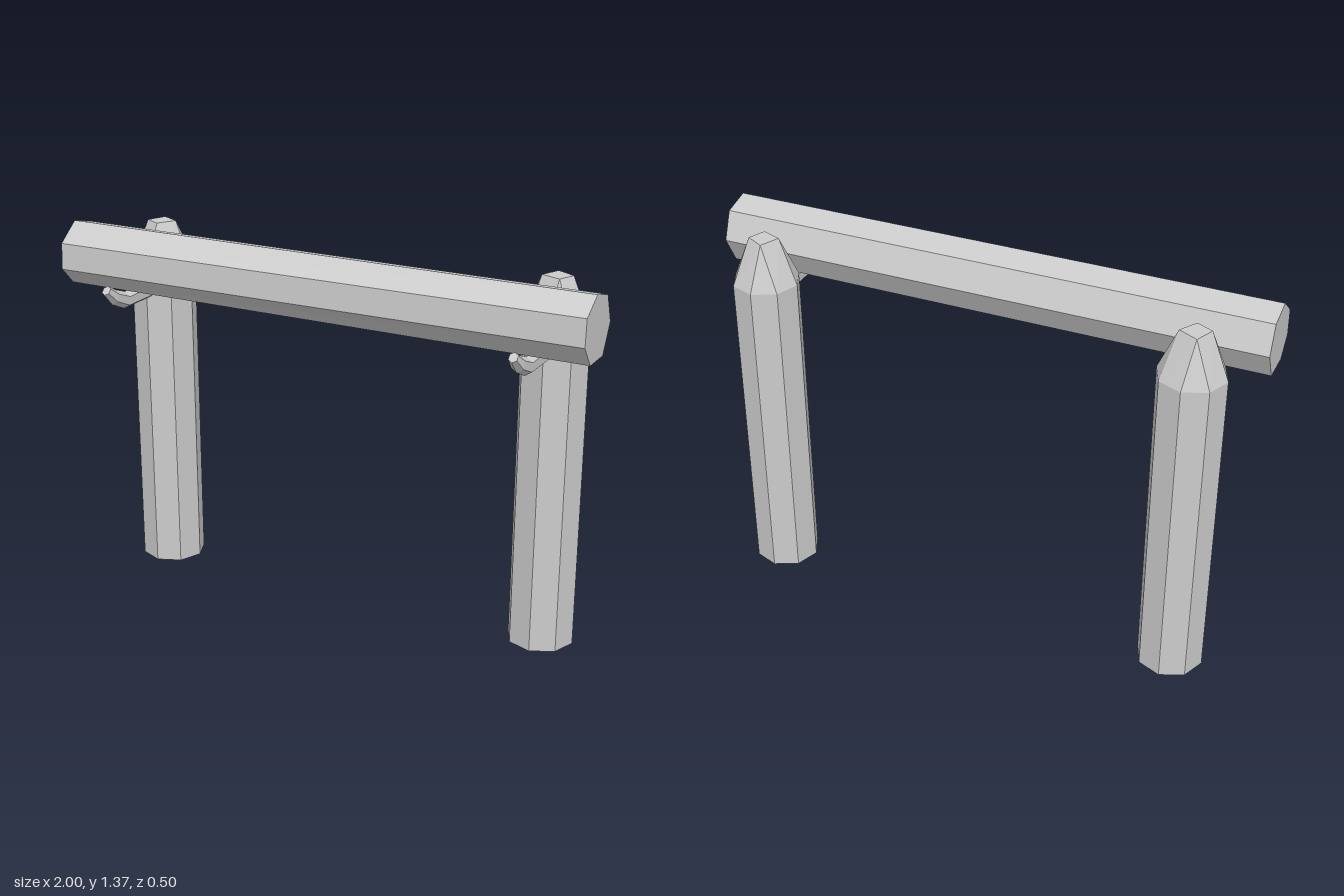
import * as THREE from 'three';
import { ConvexGeometry } from 'three/addons/geometries/ConvexGeometry.js';

const material = new THREE.MeshStandardMaterial({ color: 0xcccccc, flatShading: true });

function addMesh(parent, geometry, name) {
  const mesh = new THREE.Mesh(geometry, material);
  mesh.name = name;
  parent.add(mesh);
  return mesh;
}

// Ring of points in the horizontal plane
function ring(radius, y, sides) {
  return Array.from({ length: sides }, (_, i) => {
    const a = (i / sides) * Math.PI * 2;
    return new THREE.Vector3(radius * Math.cos(a), y, radius * Math.sin(a));
  });
}

// Octagonal stake, hewn to a blunt four-cornered tip
function postGeometry() {
  const tip = [[-0.02, -0.05], [0.05, -0.015], [0.01, 0.05], [-0.05, 0.02]]
    .map(([x, z]) => new THREE.Vector3(x, 1.34, z));
  return new ConvexGeometry([...ring(0.12, 0, 8), ...ring(0.12, 1.18, 8), ...tip]);
}

// Seven-sided log along x, with a very slight twist between its ends
function beamGeometry() {
  const section = [[0.11, 1.365], [0.01, 1.34], [-0.03, 1.24], [0.025, 1.14],
    [0.14, 1.14], [0.2, 1.215], [0.195, 1.31]];
  const shape = new THREE.Shape(section.map(([z, y]) => new THREE.Vector2(-z, y)));
  const geometry = new THREE.ExtrudeGeometry(shape, { depth: 2, bevelEnabled: false });
  geometry.translate(0, 0, -1).rotateY(Math.PI / 2);
  const p = geometry.attributes.position;
  for (let i = 0; i < p.count; i++) {
    if (p.getX(i) < 0 && p.getZ(i) > 0.17) p.setY(i, p.getY(i) - 0.012);
  }
  geometry.computeVertexNormals();
  return geometry;
}

// Six-sided peg that bends upward and narrows: rows of z, y, radius, tilt
function hookGeometry() {
  const rows = [[-0.04, 1.103, 0.03, 0], [0.13, 1.1, 0.028, 0.15],
    [0.195, 1.127, 0.025, 0.45], [0.238, 1.162, 0.017, 0.75]];
  const sides = 6, positions = [], index = [];
  for (const [z, y, r, tilt] of rows) {
    for (let i = 0; i < sides; i++) {
      const a = ((i + 0.5) / sides) * Math.PI * 2;
      const up = r * 1.12 * Math.sin(a);
      positions.push(r * Math.cos(a), y + up * Math.cos(tilt), z - up * Math.sin(tilt));
    }
  }
  for (let k = 0; k < rows.length - 1; k++) {
    for (let i = 0; i < sides; i++) {
      const a = k * sides + i, b = k * sides + (i + 1) % sides;
      index.push(a, b, b + sides, a, b + sides, a + sides);
    }
  }
  const last = (rows.length - 1) * sides;
  for (let i = 1; i < sides - 1; i++) {
    index.push(0, i + 1, i, last, last + i, last + i + 1);
  }
  const geometry = new THREE.BufferGeometry();
  geometry.setAttribute('position', new THREE.Float32BufferAttribute(positions, 3));
  geometry.setIndex(index);
  geometry.computeVertexNormals();
  return geometry;
}

export function createModel() {
  const model = new THREE.Group();
  model.name = 'hitchingRail';

  addMesh(model, beamGeometry(), 'beam');

  // Two posts, each with a peg carrying the beam
  for (const [side, x, turn] of [['right', -0.78, 0], ['left', 0.78, Math.PI / 2 + 0.05]]) {
    const post = addMesh(model, postGeometry(), side + 'Post');
    post.position.set(x, 0, -0.13);
    post.rotation.y = turn;
    addMesh(model, hookGeometry(), side + 'Hook').position.x = x;
  }
  return model;
}
